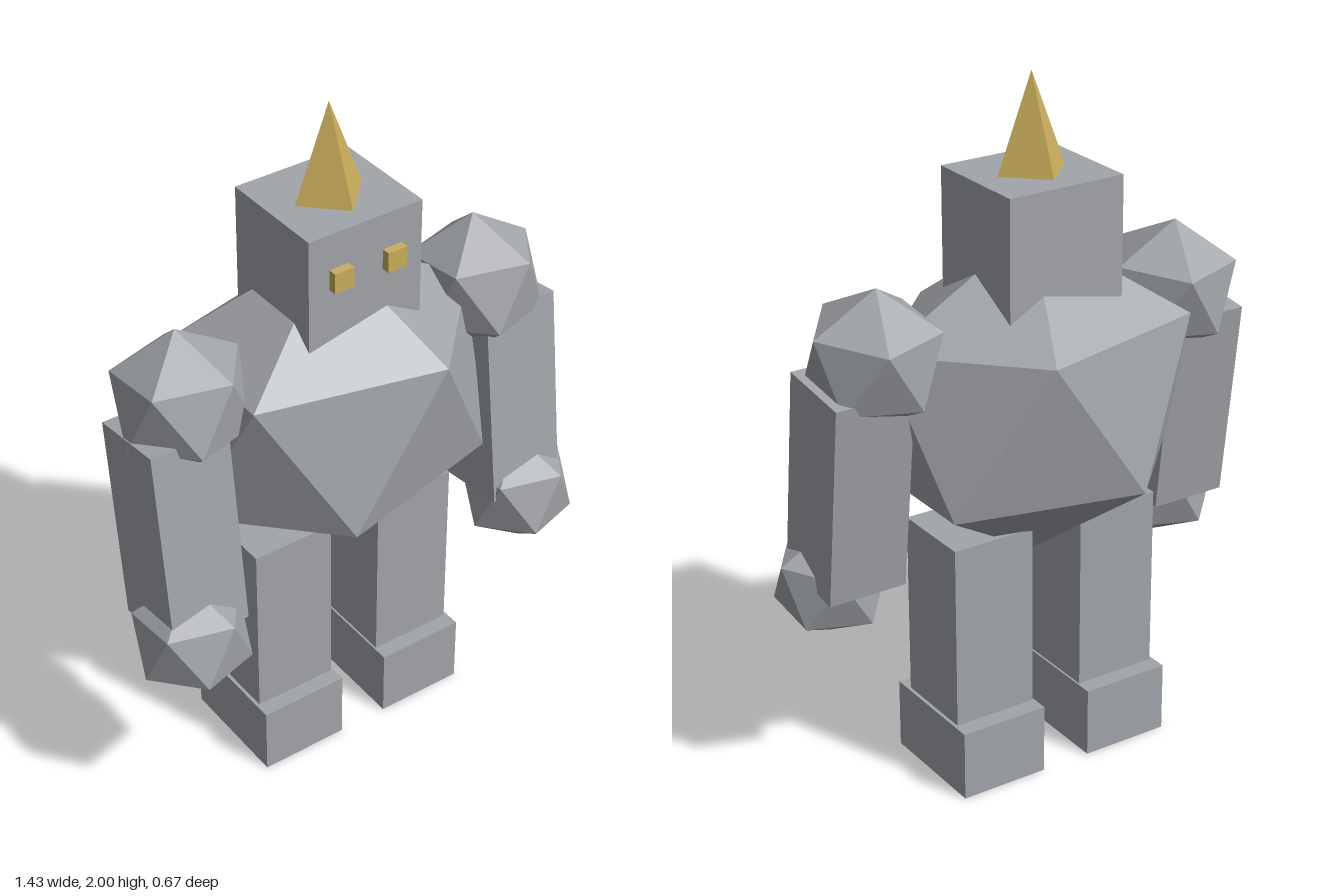
import * as THREE from 'three';

export function createModel() {
  const stone = new THREE.MeshStandardMaterial({ color: 0xa1a4a9, flatShading: true });
  stone.name = 'stone grey';
  const gold = new THREE.MeshStandardMaterial({ color: 0xc8ae5c, flatShading: true });
  gold.name = 'dull gold';

  const model = new THREE.Group();
  model.name = 'stoneGolem';

  function add(parent, name, geometry, material, x, y, z) {
    const mesh = new THREE.Mesh(geometry, material);
    mesh.name = name;
    mesh.position.set(x, y, z);
    parent.add(mesh);
    return mesh;
  }
  const box = (w, h, d) => new THREE.BoxGeometry(w, h, d);

  // Twenty-sided boulder standing on a corner, upper ring pointing to +x
  function boulder(rx, ry = rx, rz = rx) {
    const g = new THREE.IcosahedronGeometry(1, 0);
    g.rotateZ(-Math.atan(2 / (1 + Math.sqrt(5))));
    g.scale(rx, ry, rz);
    return g;
  }

  // Body and head
  add(model, 'torso', boulder(0.527, 0.48, 0.394), stone, 0, 1.095, 0);
  add(model, 'head', box(0.356, 0.35, 0.33), stone, 0, 1.555, -0.002);
  add(model, 'horn', new THREE.ConeGeometry(0.106, 0.27, 4), gold, 0, 1.865, 0);

  for (const [side, s] of [['left', 1], ['right', -1]]) {
    add(model, side + 'Eye', box(0.06, 0.06, 0.05), gold, s * 0.084, 1.595, 0.163);

    // Leg and foot
    add(model, side + 'Leg', box(0.25, 0.55, 0.25), stone, s * 0.206, 0.475, 0);
    add(model, side + 'Foot', box(0.266, 0.207, 0.35), stone, s * 0.208, 0.1035, -0.002);

    // Arm swings slightly forward from the top of the shoulder
    const arm = new THREE.Group();
    arm.name = side + 'Arm';
    arm.position.set(s * 0.48, 1.5, 0);
    arm.rotation.x = -0.12;
    add(arm, side + 'Shoulder', boulder(0.202), stone, 0, -0.202, 0);
    add(arm, side + 'Forearm', box(0.235, 0.6, 0.24), stone, s * 0.06, -0.56, 0);
    add(arm, side + 'Fist', boulder(0.175), stone, s * 0.08, -0.893, 0.046);
    model.add(arm);
  }
  return model;
}
